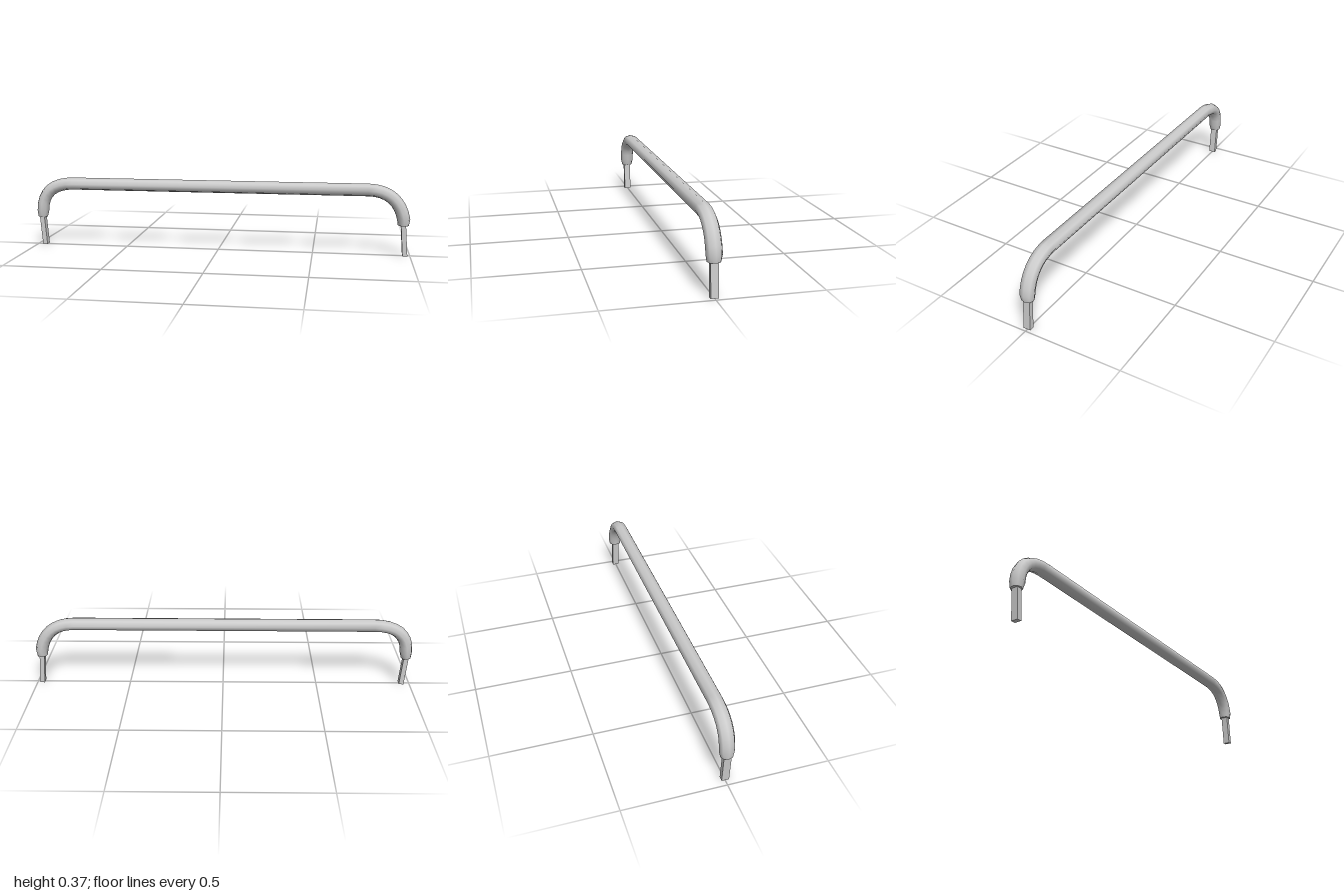
import * as THREE from 'three';

const SIDES = 8;
const V = (x, y) => new THREE.Vector2(x, y);

// Eight-sided oval sweep along a path in the XY plane; sections are [point, scale]
function sweep(sections, halfHeight, halfDepth) {
  const positions = [], indices = [];
  const last = sections.length - 1;
  sections.forEach(([p, scale], i) => {
    const t = sections[Math.min(i + 1, last)][0].clone()
      .sub(sections[Math.max(i - 1, 0)][0]).normalize();
    for (let j = 0; j < SIDES; j++) {
      const a = (j / SIDES) * Math.PI * 2;
      const n = Math.cos(a) * halfHeight * scale;
      positions.push(p.x - t.y * n, p.y + t.x * n, Math.sin(a) * halfDepth * scale);
    }
  });
  for (let i = 0; i < last; i++) {
    for (let j = 0; j < SIDES; j++) {
      const k = (j + 1) % SIDES;
      const a = i * SIDES + j, b = i * SIDES + k;
      const c = a + SIDES, d = b + SIDES;
      indices.push(a, b, c, b, d, c);
    }
  }
  // End caps with their own vertices, so that the rims stay sharp
  for (const end of [0, last]) {
    const base = positions.length / 3;
    const from = end * SIDES * 3;
    positions.push(...positions.slice(from, from + SIDES * 3));
    for (let j = 1; j < SIDES - 1; j++) {
      if (end === 0) indices.push(base, base + j + 1, base + j);
      else indices.push(base, base + j, base + j + 1);
    }
  }
  const g = new THREE.BufferGeometry();
  g.setAttribute('position', new THREE.Float32BufferAttribute(positions, 3));
  g.setIndex(indices);
  g.computeVertexNormals();
  return g;
}

export function createModel() {
  const group = new THREE.Group();
  const smooth = new THREE.MeshStandardMaterial({ color: 0xcccccc, side: THREE.DoubleSide });
  const flat = new THREE.MeshStandardMaterial({ color: 0xcccccc, flatShading: true });

  // Curved grip: two bends joined by a straight bar, tapered at both tips
  const leftBend = new THREE.CubicBezierCurve(
    V(0.962, 0.19), V(0.945, 0.28), V(0.885, 0.34), V(0.78, 0.34));
  const rightBend = new THREE.CubicBezierCurve(
    V(-0.967, 0.19), V(-0.965, 0.29), V(-0.9, 0.338), V(-0.79, 0.338));
  const sections = [
    [V(-0.97, 0.155), 0.8],
    ...rightBend.getPoints(8).map(p => [p, 1]),
    ...leftBend.getPoints(8).reverse().map(p => [p, 1]),
    [V(0.961, 0.16), 0.86],
  ];
  const grip = new THREE.Mesh(sweep(sections, 0.033, 0.038), smooth);
  grip.name = 'grip';
  group.add(grip);

  // Square mounting pins, both leaning the same way
  for (const [name, x] of [['rightPin', -0.964], ['leftPin', 0.967]]) {
    const pin = new THREE.Mesh(new THREE.BoxGeometry(0.025, 0.18, 0.036), flat);
    pin.position.set(x, 0.091, 0.001);
    pin.rotation.z = 0.08;
    pin.name = name;
    group.add(pin);
  }
  return group;
}
